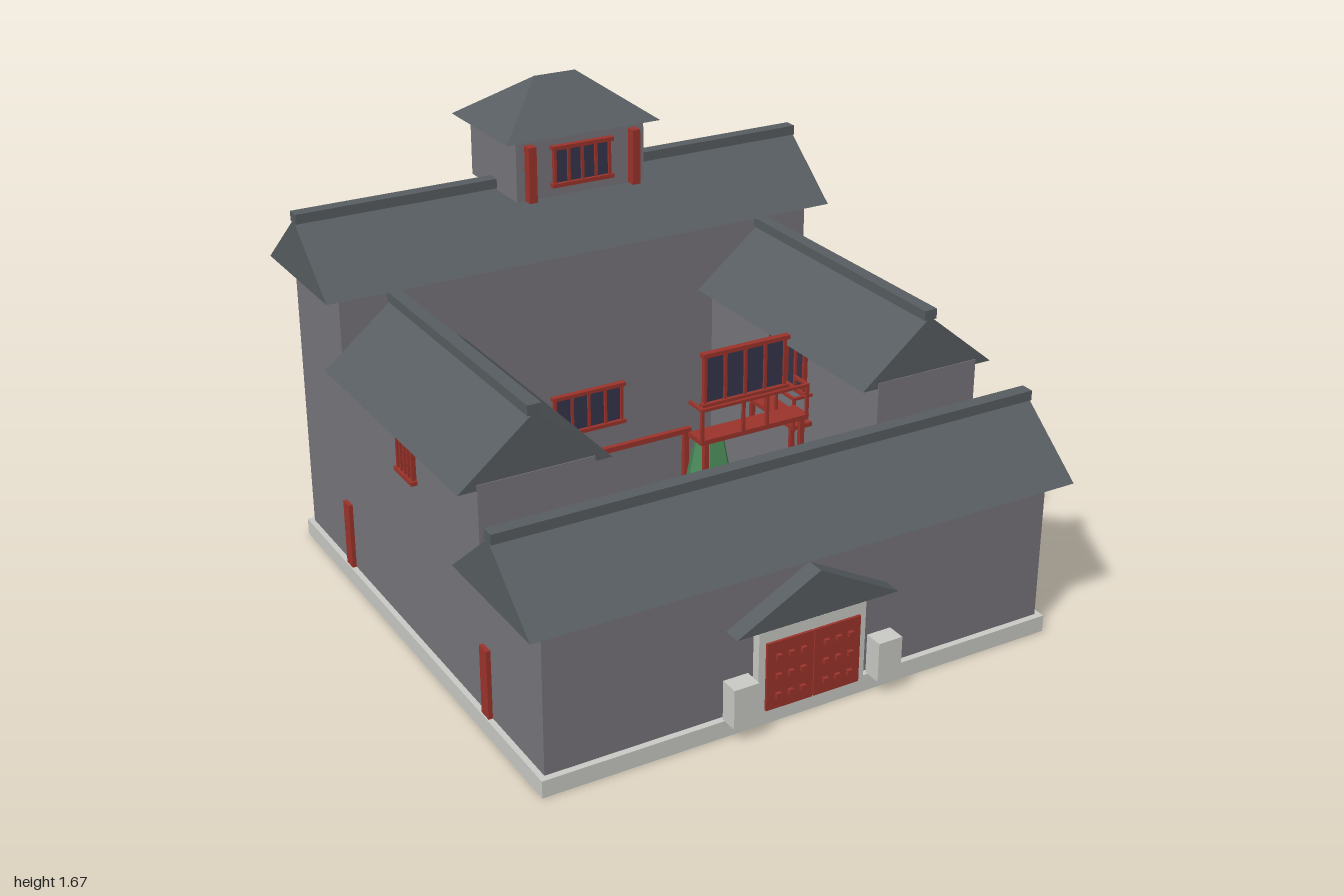
import * as THREE from 'three';

const mat = (name, color, extra = {}) => {
  const m = new THREE.MeshStandardMaterial({ color, ...extra });
  m.name = name;
  return m;
};

export function createModel() {
  const wall = mat('grey brick', 0x77757b);
  const roof = mat('roof tile', 0x575d61);
  const stone = mat('pale stone', 0xcacac6);
  const red = mat('red timber', 0x9c342b);
  const pane = mat('dark pane', 0x35344b);
  const green = mat('foliage', 0x4a8a58);
  const bark = mat('bark', 0x6b4a32);
  const root = new THREE.Group();
  root.name = 'courtyardHouse';

  const add = (parent, name, geo, material) => {
    const m = new THREE.Mesh(geo, material);
    m.name = name;
    parent.add(m);
    return m;
  };
  // Box from its low and high corners
  const box = (parent, name, material, x0, x1, y0, y1, z0, z1) => {
    const g = new THREE.BoxGeometry(x1 - x0, y1 - y0, z1 - z0);
    g.translate((x0 + x1) / 2, (y0 + y1) / 2, (z0 + z1) / 2);
    return add(parent, name, g, material);
  };
  const group = (name, x, y, z, turn = 0) => {
    const g = new THREE.Group();
    g.name = name;
    g.position.set(x, y, z);
    g.rotation.y = turn;
    root.add(g);
    return g;
  };
  // Triangular gable whose ridge runs along local z
  const gable = (parent, name, half, height, length) => {
    const s = new THREE.Shape([
      new THREE.Vector2(-half, 0), new THREE.Vector2(half, 0), new THREE.Vector2(0, height),
    ]);
    const g = new THREE.ExtrudeGeometry(s, { depth: length, bevelEnabled: false });
    g.translate(0, 0, -length / 2);
    return add(parent, name, g, roof);
  };
  const ridgedRoof = (name, x, y, z, length, turn) => {
    const g = group(name, x, y, z, turn);
    gable(g, 'roofSlopes', 0.263, 0.215, length);
    box(g, 'ridgeCap', roof, -0.024, 0.024, 0.205, 0.24, -length / 2, length / 2);
  };
  // Barred window facing local +z, centred on its wall point
  const barredWindow = (name, x, y, z, w, h, bars, turn = 0) => {
    const g = group(name, x, y, z, turn);
    const a = w / 2, b = h / 2;
    box(g, 'pane', pane, -a + 0.01, a - 0.01, -b, b, 0, 0.008);
    for (const s of [-1, 1]) {
      box(g, 'frameRail', red, -a, a, s * b - 0.007, s * b + 0.007, 0, 0.022);
    }
    for (let i = 0; i <= bars; i++) {
      const px = -a + 0.013 + (i / bars) * (w - 0.026);
      box(g, 'bar', red, px - 0.005, px + 0.005, -b, b, 0, 0.016);
    }
  };
  // Balcony facing local +z, its floor at local y = 0
  const balcony = (name, x, y, z, w, turn = 0) => {
    const g = group(name, x, y, z, turn);
    const a = w / 2;
    box(g, 'floor', red, -a, a, -0.016, 0, 0, 0.08);
    box(g, 'frontRail', red, -a, a, 0.097, 0.107, 0.07, 0.08);
    for (const s of [-1, 1]) {
      const p = s * (a - 0.006);
      box(g, 'sideRail', red, p - 0.005, p + 0.005, 0.097, 0.107, 0, 0.08);
      const l = s * (a - 0.022);
      box(g, 'leg', red, l - 0.008, l + 0.008, -0.11, -0.01, 0.062, 0.078);
      for (const q of [p, s * w * 0.11]) {
        box(g, 'baluster', red, q - 0.005, q + 0.005, 0, 0.1, 0.07, 0.08);
      }
    }
  };

  // Stone base with the courtyard floor
  box(root, 'base', stone, -0.95, 0.95, 0, 0.06, -0.95, 0.945);

  // Front and rear halls
  box(root, 'frontHallWalls', wall, -0.93, 0.93, 0.06, 0.575, 0.52, 0.922);
  ridgedRoof('frontHallRoof', 0, 0.567, 0.722, 1.99, Math.PI / 2);
  box(root, 'rearHallWalls', wall, -0.93, 0.93, 0.06, 1.095, -0.93, -0.53);
  ridgedRoof('rearHallRoof', 0, 1.09, -0.733, 1.99, Math.PI / 2);

  // Side wings, mirrored
  for (const s of [-1, 1]) {
    const face = s * Math.PI / 2;
    box(root, 'wingWalls', wall, Math.min(s * 0.53, s * 0.93), Math.max(s * 0.53, s * 0.93),
      0.06, 0.85, -0.53, 0.523);
    ridgedRoof('wingRoof', s * 0.732, 0.83, -0.005, 1.05, 0);
    barredWindow('outerWindow', s * 0.93, 0.725, -0.002, 0.14, 0.14, 4, face);
    barredWindow('courtWindow', s * 0.53, 0.735, -0.005, 0.24, 0.17, 4, -face);
    balcony('courtBalcony', s * 0.53, 0.555, -0.005, 0.3, -face);
    for (const z of [0.547, -0.553]) {
      box(root, 'sidePillar', red, s * 0.935 - 0.01, s * 0.935 + 0.01, 0.06, 0.305, z - 0.025, z + 0.025);
    }
  }

  // Rear hall windows and the low timber frame on its court side
  barredWindow('rearWindow', 0, 0.987, -0.93, 0.14, 0.135, 4, Math.PI);
  barredWindow('innerRearWindow', 0, 0.455, -0.53, 0.3, 0.15, 4);
  box(root, 'verandaBeam', red, -0.42, 0.42, 0.275, 0.295, -0.51, -0.49);
  for (const x of [-0.4, 0.4]) {
    box(root, 'verandaPost', red, x - 0.01, x + 0.01, 0.06, 0.28, -0.51, -0.49);
  }

  // Upper balcony and lattice screen over the front hall
  balcony('upperBalcony', 0, 0.85, 0.522, 0.4);
  barredWindow('upperScreen', 0, 1.02, 0.523, 0.32, 0.17, 4);
  add(root, 'upperScreenBack', new THREE.PlaneGeometry(0.3, 0.17).rotateY(Math.PI)
    .translate(0, 1.02, 0.522), pane);

  // Lookout tower with hipped roof
  box(root, 'towerWalls', wall, -0.25, 0.25, 1.29, 1.515, -0.91, -0.55);
  barredWindow('towerWindow', 0, 1.4, -0.55, 0.24, 0.135, 4);
  for (const x of [-0.203, 0.203]) {
    box(root, 'towerPillar', red, x - 0.015, x + 0.015, 1.29, 1.49, -0.55, -0.515);
  }
  const hip = new THREE.BoxGeometry(0.6, 0.16, 0.44).toNonIndexed();
  const hp = hip.attributes.position;
  for (let i = 0; i < hp.count; i++) {
    if (hp.getY(i) > 0) {
      hp.setX(i, Math.sign(hp.getX(i)) * 0.08);
      hp.setZ(i, 0);
    }
  }
  hip.computeVertexNormals();
  add(root, 'towerRoof', hip, roof).position.set(0, 1.59, -0.737);

  // Main gate with studded double doors
  box(root, 'gateFrame', stone, -0.2, 0.2, 0.06, 0.342, 0.92, 0.955);
  gable(root, 'gateRoof', 0.3, 0.16, 0.066).position.set(0, 0.365, 0.953);
  for (const s of [-1, 1]) {
    const c = s * 0.0885;
    box(root, 'doorLeaf', red, c - 0.0865, c + 0.0865, 0.06, 0.302, 0.945, 0.964);
    for (const dx of [-0.046, 0, 0.046]) {
      for (const y of [0.11, 0.18, 0.25]) {
        const x = c + dx;
        box(root, 'doorStud', red, x - 0.009, x + 0.009, y - 0.009, y + 0.009, 0.96, 0.976);
      }
    }
    box(root, 'gateBlock', stone, s * 0.27 - 0.045, s * 0.27 + 0.045, 0.06, 0.2, 0.933, 1);
  }

  // Screen wall behind the gate
  box(root, 'screenWall', wall, -0.2, 0.2, 0.06, 0.37, 0.362, 0.398);
  box(root, 'screenWallCap', roof, -0.22, 0.22, 0.37, 0.4, 0.35, 0.41);

  // Courtyard trees and potted shrubs
  const crown = (x, z, r, y0, y1) => {
    const g = new THREE.CylinderGeometry(r * 0.5, r, y1 - y0, 6).rotateY(Math.PI / 2).toNonIndexed();
    g.computeVertexNormals();
    add(root, 'foliage', g, green).position.set(x, (y0 + y1) / 2, z);
  };
  for (const [x, z, r, top] of [[-0.285, -0.21, 0.12, 0.51], [0.28, -0.13, 0.107, 0.45]]) {
    add(root, 'trunk', new THREE.CylinderGeometry(0.02, 0.025, 0.15, 6), bark).position.set(x, 0.135, z);
    crown(x, z, r, 0.2, top);
  }
  for (const [x, z] of [[-0.405, -0.41], [0.4, -0.41], [-0.405, 0.14]]) {
    box(root, 'planter', stone, x - 0.048, x + 0.048, 0.06, 0.12, z - 0.048, z + 0.048);
    crown(x, z, 0.05, 0.12, 0.24);
  }
  return root;
}
